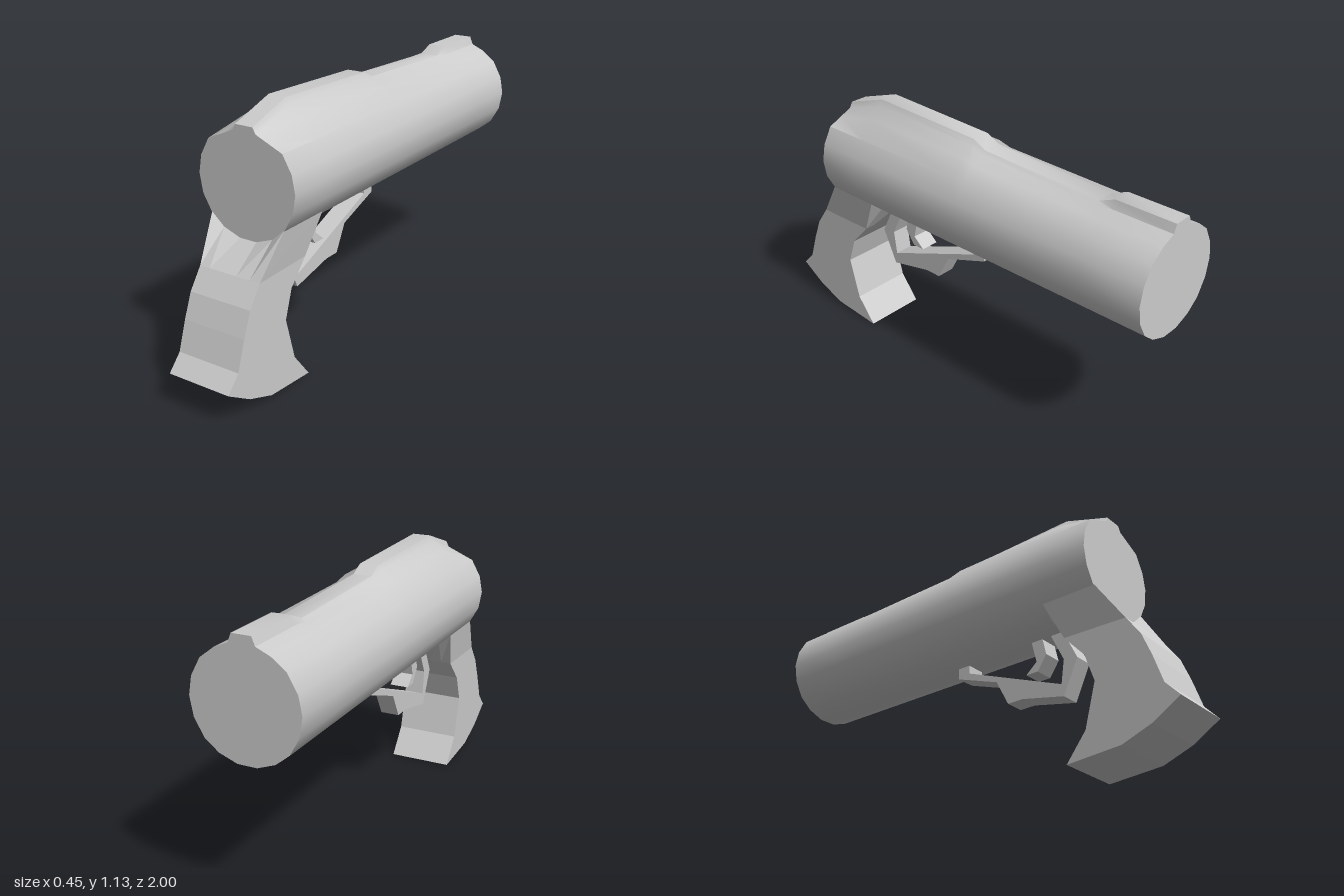
import * as THREE from 'three';
import { toCreasedNormals } from 'three/addons/utils/BufferGeometryUtils.js';

const smooth = new THREE.MeshStandardMaterial({ color: 0xcccccc });
const flat = new THREE.MeshStandardMaterial({ color: 0xcccccc, flatShading: true });

// Skin a list of rings (arrays of [x, y, z]) and close both ends with fans.
function loft(rings) {
  const n = rings[0].length;
  const pos = rings.flat(2);
  const index = [];
  for (let i = 0; i < rings.length - 1; i++) {
    for (let j = 0; j < n; j++) {
      const k = (j + 1) % n;
      const a = i * n + j, b = i * n + k, c = a + n, d = b + n;
      index.push(a, c, b, b, c, d);
    }
  }
  [0, rings.length - 1].forEach((r, end) => {
    const centre = pos.length / 3;
    for (let axis = 0; axis < 3; axis++) {
      pos.push(rings[r].reduce((s, p) => s + p[axis], 0) / n);
    }
    for (let j = 0; j < n; j++) {
      const a = r * n + j, b = r * n + (j + 1) % n;
      index.push(centre, ...(end ? [b, a] : [a, b]));
    }
  });
  const g = new THREE.BufferGeometry();
  g.setAttribute('position', new THREE.Float32BufferAttribute(pos, 3));
  g.setIndex(index);
  return g;
}

// Side outline given as [z, y], extruded across x.
function sidePlate(outline, width) {
  const shape = new THREE.Shape(outline.map(([z, y]) => new THREE.Vector2(z, y)));
  const g = new THREE.ExtrudeGeometry(shape, { depth: width, bevelEnabled: false });
  g.translate(0, 0, -width / 2);
  g.rotateY(-Math.PI / 2);
  return g;
}

export function createModel() {
  const group = new THREE.Group();
  const add = (name, geometry, material) => {
    const mesh = new THREE.Mesh(geometry, material);
    mesh.name = name;
    group.add(mesh);
  };

  // Barrel: constant round lower half, ridge heights varying along z
  // [z, shoulder y, ridge foot y, ridge top y]
  const stations = [
    [0.685, 1.01, 1.035, 1.06],
    [0.485, 1.06, 1.1, 1.127],
    [-0.05, 1.055, 1.09, 1.11],
    [-0.11, 1.04, 1.065, 1.08],
    [-0.67, 1.03, 1.05, 1.06],
    [-0.74, 1.03, 1.055, 1.09],
    [-1, 1.03, 1.055, 1.09],
  ];
  const barrelRings = stations.map(([z, shoulder, foot, top]) => {
    const half = [
      [0.04, 0.612], [0.115, 0.64], [0.172, 0.686], [0.212, 0.757], [0.226, 0.837],
      [0.212, 0.912], [0.172, 0.984], [0.112, shoulder], [0.054, foot], [0.04, top],
    ];
    const mirrored = half.map(([x, y]) => [-x, y]).reverse();
    return [...half, ...mirrored].map(([x, y]) => [x, y, z]);
  });
  add('barrel', toCreasedNormals(loft(barrelRings), 0.65), smooth);

  // Grip: rows from top to bottom [half width, back z, back y, front z, front y]
  const rows = [
    [0.172, 0.685, 0.69, 0.44, 0.69],
    [0.143, 0.8, 0.515, 0.52, 0.52],
    [0.143, 0.86, 0.43, 0.61, 0.42],
    [0.143, 0.9, 0.33, 0.65, 0.3],
    [0.143, 0.94, 0.21, 0.6, 0.115],
    [0.143, 1, 0.145, 0.51, 0],
    [0.143, 0.88, 0.07, 0.51, 0],
    [0.143, 0.75, 0.02, 0.51, 0],
    [0.143, 0.51, 0, 0.51, 0],
  ];
  const across = [-1, -0.67, -0.23, 0.23, 0.67, 1];
  const dip = [0, 0.05, 0.078, 0.078, 0.05, 0]; // top edge follows the barrel
  const gripRings = rows.map(([w, bz, by, fz, fy], r) => {
    const edge = (z, y) => across.map((f, i) => [f * w, y - (r === 0 ? dip[i] : 0), z]);
    return [...edge(bz, by), ...edge(fz, fy).reverse()];
  });
  add('grip', loft(gripRings), flat);

  // Trigger guard
  add('triggerGuard', sidePlate([
    [0.44, 0.625], [0.51, 0.48], [0.44, 0.33], [0.235, 0.375], [0.16, 0.375], [0.1, 0.49],
    [-0.11, 0.565], [-0.11, 0.625], [-0.05, 0.625], [-0.05, 0.575], [0.43, 0.385],
    [0.445, 0.49], [0.38, 0.625],
  ], 0.085), flat);

  // Trigger
  add('trigger', sidePlate([
    [0.34, 0.625], [0.36, 0.54], [0.315, 0.475], [0.257, 0.475], [0.31, 0.52], [0.285, 0.625],
  ], 0.085), flat);

  return group;
}
